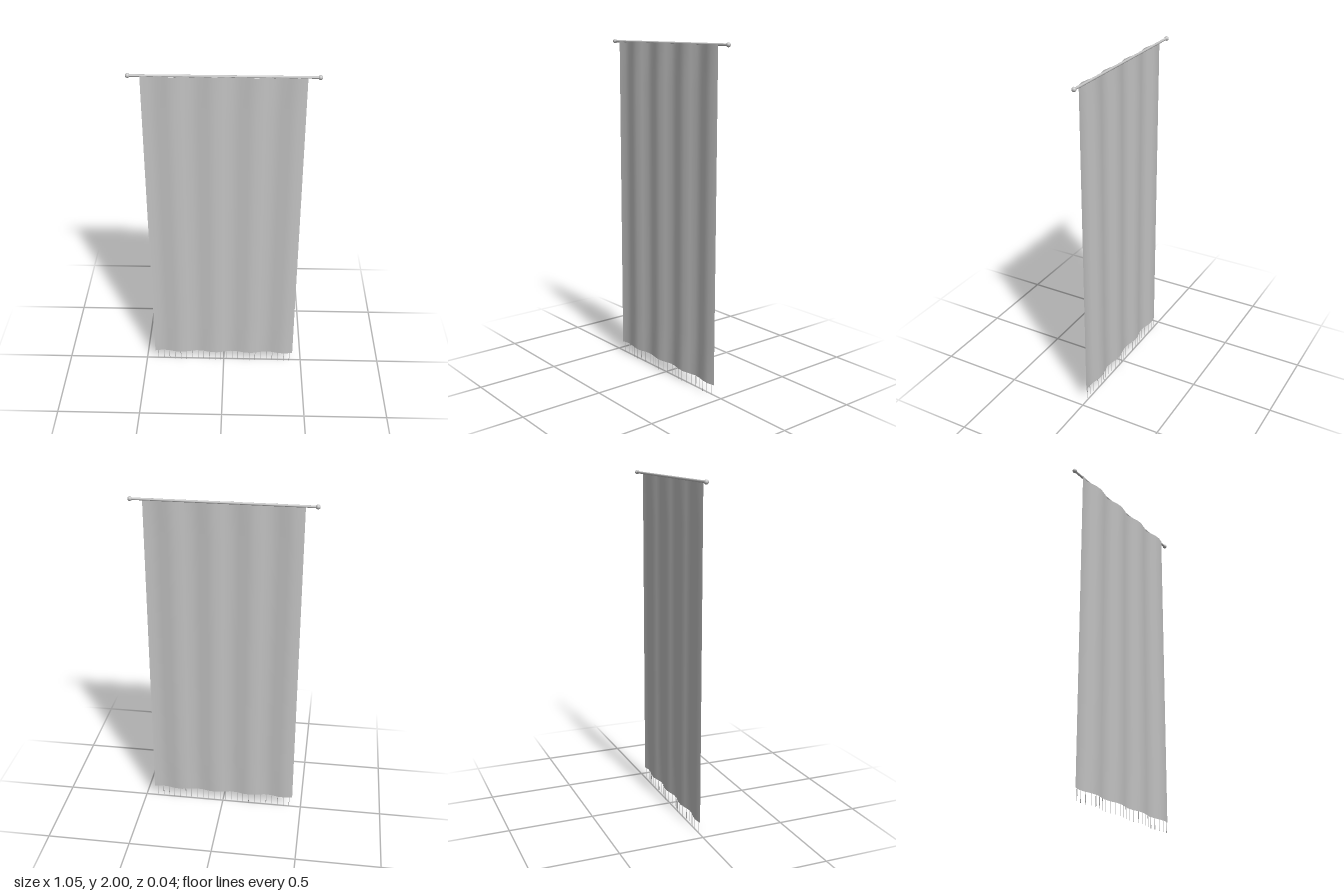
import * as THREE from 'three';

const WIDTH = 0.89, BOTTOM = 0.065, TOP = 1.988;
const SEGMENTS = 20, FOLDS = 4, STRANDS = 24;

// Depth of the folds across the width
const wave = x => 0.006 - 0.0095 * Math.sin((x / WIDTH + 0.5) * FOLDS * Math.PI * 2);

// Depth on the segmented cloth, so strands hang exactly from its hem
function clothDepth(x) {
  const step = WIDTH / SEGMENTS;
  const t = (x + WIDTH / 2) / step;
  const x0 = Math.floor(t) * step - WIDTH / 2;
  return THREE.MathUtils.lerp(wave(x0), wave(x0 + step), t - Math.floor(t));
}

export function createModel() {
  const group = new THREE.Group();
  group.name = 'hangingCurtain';
  const grey = new THREE.MeshStandardMaterial({ color: 0xc4c4c4, side: THREE.DoubleSide });
  grey.name = 'grey';

  const add = (name, geometry, x, y, z, parent = group) => {
    const mesh = new THREE.Mesh(geometry, grey);
    mesh.name = name;
    mesh.position.set(x, y, z);
    parent.add(mesh);
    return mesh;
  };

  // Rod with a ball at each end
  const rodY = 1.987, rodZ = -0.007;
  add('rod', new THREE.CylinderGeometry(0.007, 0.007, 1.02, 12).rotateZ(Math.PI / 2), 0, rodY, rodZ);
  for (const side of [-1, 1]) {
    add(side > 0 ? 'leftFinial' : 'rightFinial',
      new THREE.SphereGeometry(0.013, 16, 12), side * 0.51, rodY, rodZ);
  }

  // Rippled cloth
  const cloth = new THREE.PlaneGeometry(WIDTH, TOP - BOTTOM, SEGMENTS, 8);
  const pos = cloth.attributes.position;
  for (let i = 0; i < pos.count; i++) pos.setZ(i, wave(pos.getX(i)));
  cloth.computeVertexNormals();
  add('cloth', cloth, 0, (TOP + BOTTOM) / 2, 0);

  // Fringe of thin strands along the hem
  const fringe = new THREE.Group();
  fringe.name = 'fringe';
  group.add(fringe);
  const strand = new THREE.CylinderGeometry(0.0018, 0.0018, BOTTOM, 6);
  for (let i = 0; i < STRANDS; i++) {
    const x = ((i + 0.5) / STRANDS - 0.5) * WIDTH;
    add('strand', strand, x, BOTTOM / 2, clothDepth(x), fringe);
  }

  return group;
}
